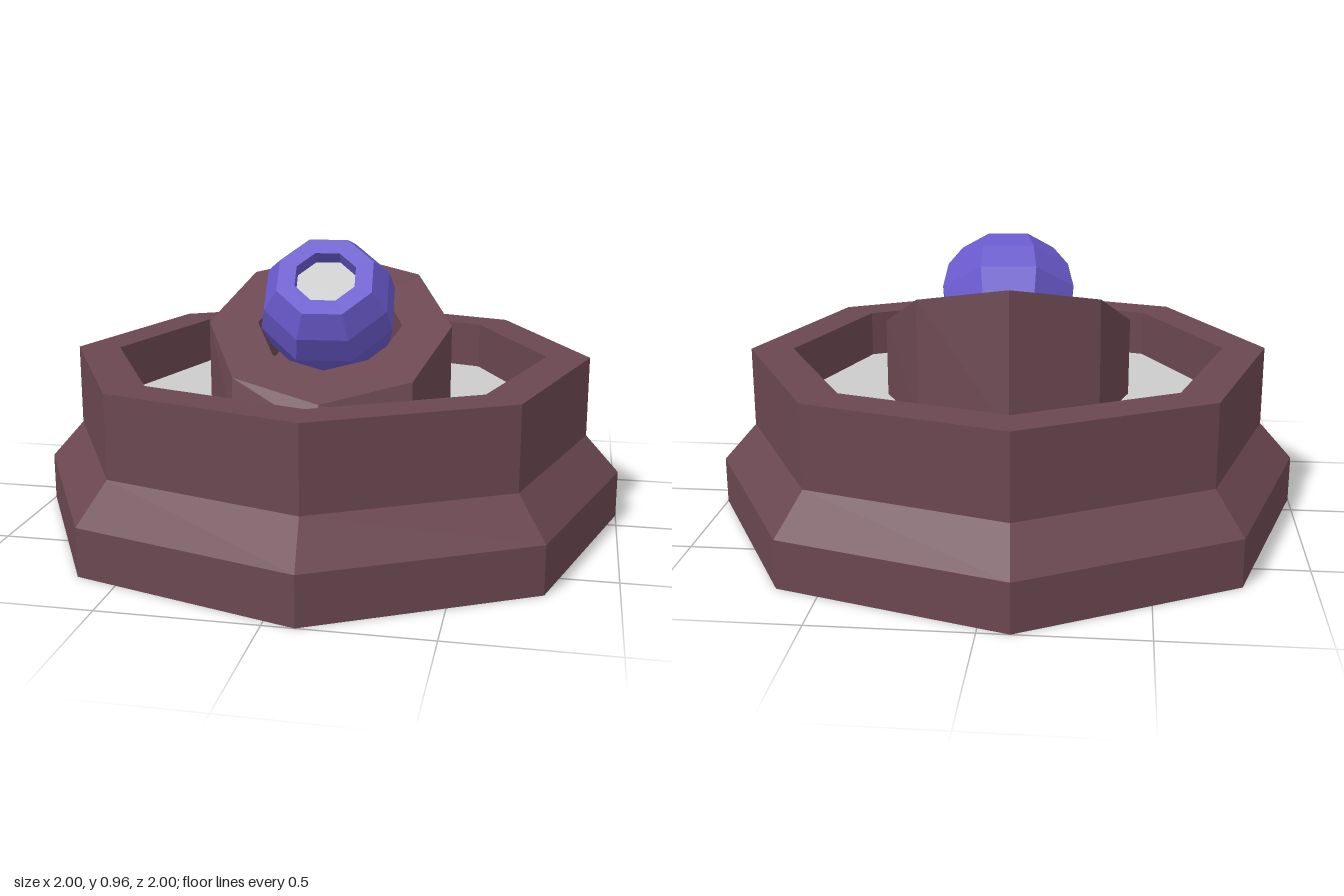
import * as THREE from 'three';

const SIDES = 8;

function material(color) {
  return new THREE.MeshStandardMaterial({ color, flatShading: true, side: THREE.DoubleSide });
}

// Eight-sided turned shape from [radius, height] pairs
function turned(profile, phase = 0) {
  return new THREE.LatheGeometry(profile.map(([r, y]) => new THREE.Vector2(r, y)), SIDES, phase);
}

function part(name, geometry, mat) {
  const mesh = new THREE.Mesh(geometry, mat);
  mesh.name = name;
  return mesh;
}

export function createModel() {
  const stone = material(0x6b4751);
  const blue = material(0x6a5acd);
  const grey = material(0xcccccc);
  const model = new THREE.Group();
  model.name = 'fountain';
  model.rotation.y = 0.098;

  // Stepped basin wall, open underneath
  model.add(part('basinWall', turned([
    [1.005, 0], [1.005, 0.16], [0.89, 0.29], [0.89, 0.565], [0.744, 0.565], [0.744, 0.4],
  ]), stone));

  // Water ring around the pedestal
  model.add(part('water', turned([[0.744, 0.4], [0.42, 0.4]]), grey));

  // Pedestal whose top and socket lean toward the front
  const pedestal = turned([
    [0.42, 0.4], [0.42, 0.665], [0.25, 0.665], [0.25, 0.475], [0, 0.475],
  ]);
  const tilt = 0.465;
  const pos = pedestal.attributes.position;
  for (let i = 0; i < pos.count; i++) {
    const y = pos.getY(i), z = pos.getZ(i);
    if (y > 0.41) {
      pos.setY(i, y - z * Math.sin(tilt));
      pos.setZ(i, z * Math.cos(tilt));
    }
  }
  pedestal.computeVertexNormals();
  model.add(part('pedestal', pedestal, stone));

  // Orb: faceted ball cut flat at the top, with a recessed opening
  const orb = new THREE.Group();
  orb.name = 'orb';
  orb.position.set(0, 0.73, 0.04);
  orb.rotation.x = 0.73;
  const R = 0.24, phase = Math.PI / SIDES;
  const shell = [];
  for (let k = 8; k >= 2; k--) {
    const a = k * Math.PI / 8;
    shell.push([R * Math.sin(a), R * Math.cos(a)]);
  }
  shell.push([0.107, 0.168], [0.107, 0.12]);
  orb.add(part('orbShell', turned(shell, phase), blue));
  orb.add(part('orbPlate', turned([[0.107, 0.12], [0, 0.12]], phase), grey));
  model.add(orb);

  const root = new THREE.Group();
  root.add(model);
  return root;
}
